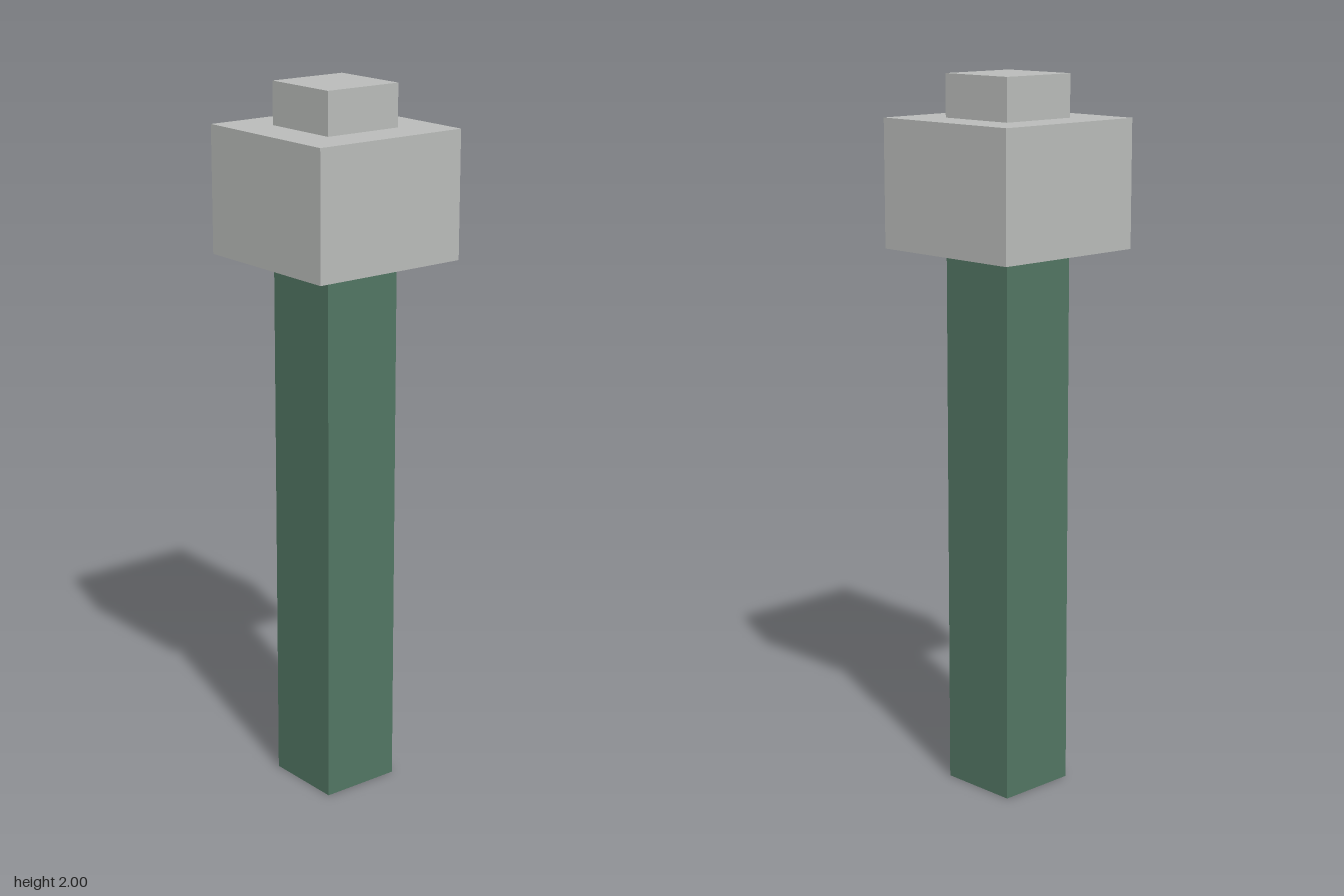
import * as THREE from 'three';

const UNIT = 2 / 17; // the whole model is 17 units tall

export function createModel() {
  const model = new THREE.Group();
  model.name = 'squarePost';

  const green = new THREE.MeshStandardMaterial({ color: 0x527663 });
  green.name = 'dull green';
  const grey = new THREE.MeshStandardMaterial({ color: 0xbabcba });
  grey.name = 'light grey';

  // Square blocks stacked from the ground up, sizes in units
  const blocks = [
    { name: 'post', width: 2, height: 13, material: green },
    { name: 'head', width: 4, height: 3, material: grey },
    { name: 'cap', width: 2, height: 1, material: grey },
  ];

  let base = 0;
  for (const { name, width, height, material } of blocks) {
    const geometry = new THREE.BoxGeometry(width * UNIT, height * UNIT, width * UNIT);
    const block = new THREE.Mesh(geometry, material);
    block.name = name;
    block.position.y = (base + height / 2) * UNIT;
    model.add(block);
    base += height;
  }

  return model;
}
